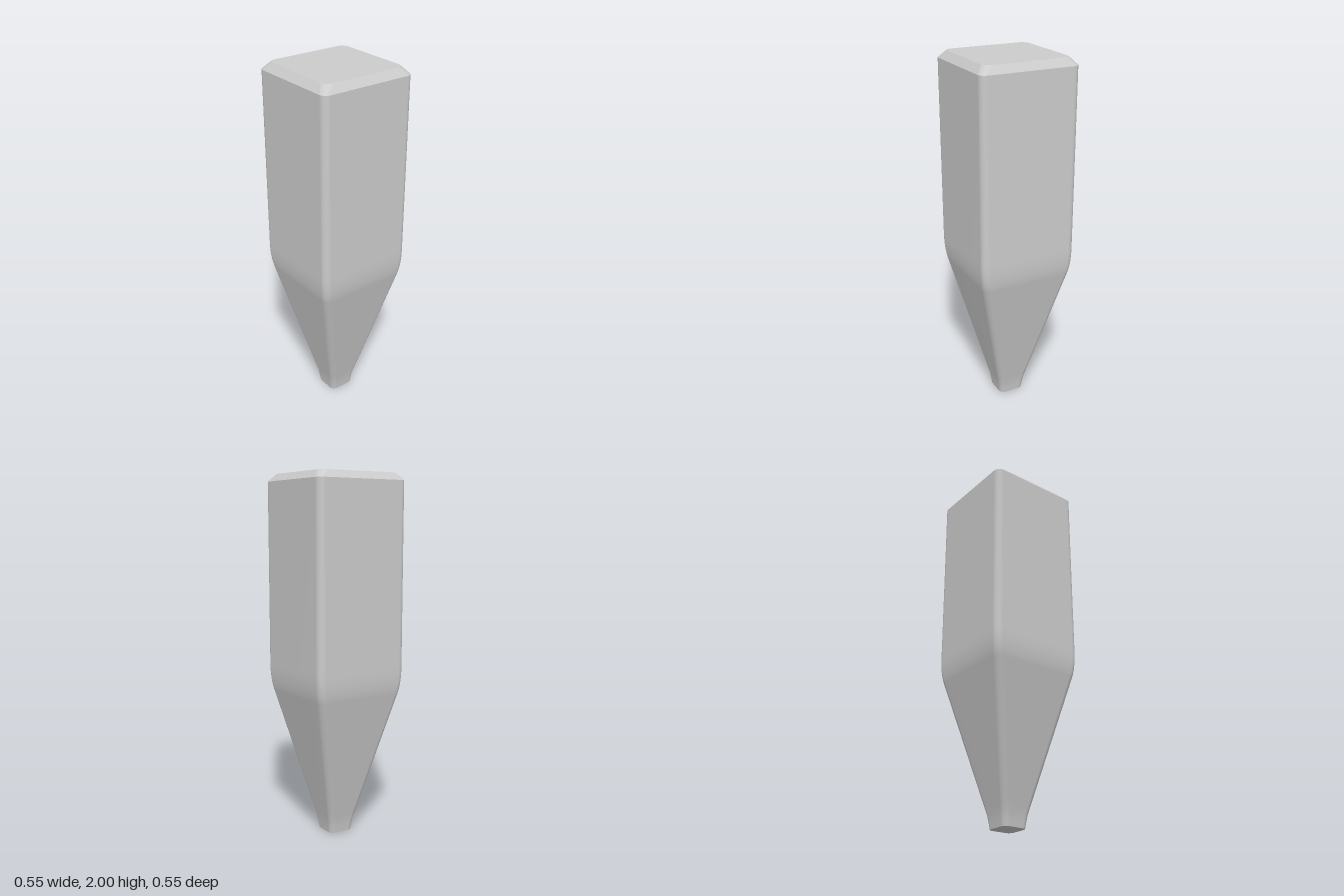
import * as THREE from 'three';

const CORNER_STEPS = 8;

// Rounded-square ring at height y: half width h, corner radius r
function ring(h, r, y) {
  const points = [];
  for (let c = 0; c < 4; c++) {
    const mid = Math.PI / 4 + c * Math.PI / 2;
    const cx = Math.sign(Math.cos(mid)) * (h - r);
    const cz = Math.sign(Math.sin(mid)) * (h - r);
    for (let i = 0; i <= CORNER_STEPS; i++) {
      const a = (c + i / CORNER_STEPS) * Math.PI / 2;
      points.push([cx + r * Math.cos(a), y, cz + r * Math.sin(a)]);
    }
  }
  return points;
}

// Smooth skin through rings listed from bottom to top, with optional flat ends
function loft(name, rings, { bottom = false, top = false } = {}) {
  const n = 4 * (CORNER_STEPS + 1);
  const positions = rings.flat(2);
  const index = [];
  for (let k = 0; k < rings.length - 1; k++) {
    for (let i = 0; i < n; i++) {
      const a = k * n + i, b = k * n + (i + 1) % n;
      index.push(a, a + n, b, b, a + n, b + n);
    }
  }
  const addCap = (points, up) => {
    const start = positions.length / 3;
    positions.push(...points.flat(), 0, points[0][1], 0);
    for (let i = 0; i < n; i++) {
      const a = start + i, b = start + (i + 1) % n;
      index.push(start + n, up ? b : a, up ? a : b);
    }
  };
  if (bottom) addCap(rings[0], false);
  if (top) addCap(rings[rings.length - 1], true);
  const geometry = new THREE.BufferGeometry();
  geometry.setAttribute('position', new THREE.Float32BufferAttribute(positions, 3));
  geometry.setIndex(index);
  geometry.computeVertexNormals();
  const mesh = new THREE.Mesh(geometry, new THREE.MeshStandardMaterial({ color: 0xcccccc }));
  mesh.name = name;
  return mesh;
}

export function createModel() {
  const group = new THREE.Group();
  group.name = 'taperedPeg';

  // Shaft: small tip, long taper, rounded shoulder, straight upper part
  const rings = [[0.072, 0.03, 0], [0.076, 0.03, 0.03], [0.082, 0.031, 0.07], [0.093, 0.032, 0.115]]
    .map(([h, r, y]) => ring(h, r, y));
  const shoulder = new THREE.QuadraticBezierCurve(
    new THREE.Vector2(0.261, 0.81), new THREE.Vector2(0.275, 0.87), new THREE.Vector2(0.275, 0.96));
  for (const p of shoulder.getPoints(8)) rings.push(ring(p.x, 0.038, p.y));
  rings.push(ring(0.275, 0.038, 1.96));
  group.add(loft('shaft', rings, { bottom: true }));

  // Bevelled rim and flat top
  const rim = [ring(0.275, 0.038, 1.96), ring(0.241, 0.043, 2)];
  group.add(loft('bevelledTop', rim, { top: true }));

  return group;
}
